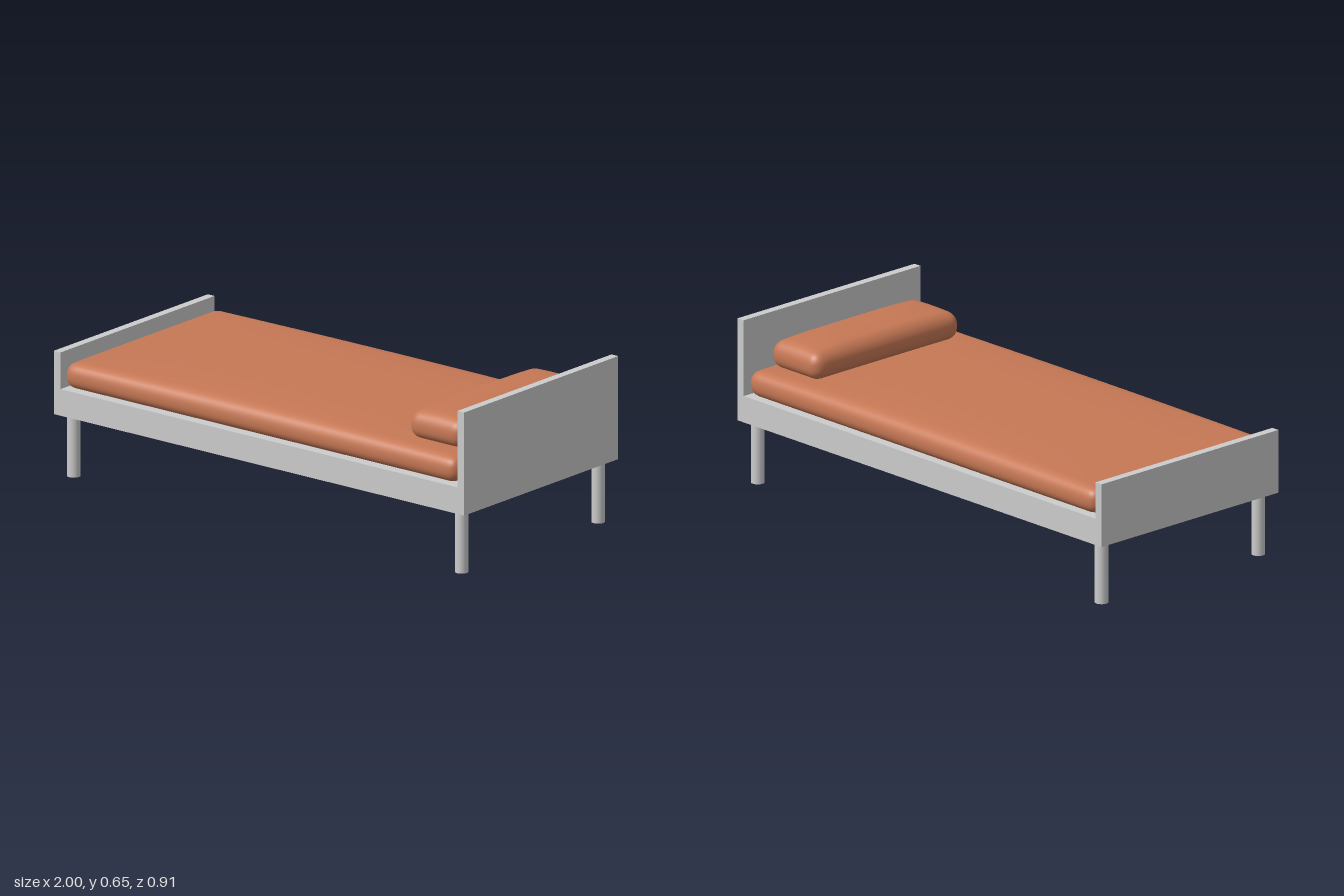
import * as THREE from 'three';
import { mergeVertices } from 'three/addons/utils/BufferGeometryUtils.js';

const frameMaterial = new THREE.MeshStandardMaterial({ color: 0xcccccc });
const fabricMaterial = new THREE.MeshStandardMaterial({ color: 0xc67855 });

// Box given by its extents on x, y and z
function panel(name, [x0, x1], [y0, y1], [z0, z1]) {
  const mesh = new THREE.Mesh(new THREE.BoxGeometry(x1 - x0, y1 - y0, z1 - z0), frameMaterial);
  mesh.name = name;
  mesh.position.set((x0 + x1) / 2, (y0 + y1) / 2, (z0 + z1) / 2);
  return mesh;
}

// Rounded slab whose top swells towards the middle
function cushion(name, [x0, x1], [y0, y1], [z0, z1], radius, crown) {
  const half = new THREE.Vector3(x1 - x0, y1 - y0, z1 - z0).multiplyScalar(0.5);
  let geometry = new THREE.BoxGeometry(2, 2, 2, 40, 12, 32);
  geometry.deleteAttribute('uv');
  geometry.deleteAttribute('normal');
  geometry = mergeVertices(geometry);

  const inner = half.clone().subScalar(radius);
  const lowest = inner.clone().negate();
  const pos = geometry.attributes.position;
  const p = new THREE.Vector3();
  const core = new THREE.Vector3();
  const spread = (u) => Math.sin(u * Math.PI / 2); // packs the grid towards the edges
  for (let i = 0; i < pos.count; i++) {
    p.fromBufferAttribute(pos, i);
    p.set(spread(p.x), spread(p.y), spread(p.z)).multiply(half);
    core.copy(p).clamp(lowest, inner);
    p.sub(core).normalize().multiplyScalar(radius).add(core);
    const swell = (1 - (p.x / half.x) ** 2) * (1 - (p.z / half.z) ** 4);
    p.y += crown * swell * (p.y / half.y + 1) / 2;
    pos.setXYZ(i, p.x, p.y, p.z);
  }
  geometry.computeVertexNormals();

  const mesh = new THREE.Mesh(geometry, fabricMaterial);
  mesh.name = name;
  mesh.position.set((x0 + x1) / 2, (y0 + y1) / 2, (z0 + z1) / 2);
  return mesh;
}

export function createModel() {
  const bed = new THREE.Group();
  bed.name = 'bed';
  const width = [-0.457, 0.457];
  const underside = 0.245;

  // Frame and end boards
  bed.add(
    panel('bedFrame', [-0.967, 0.967], [underside, 0.35], width),
    panel('headboard', [0.967, 1], [underside, 0.652], width),
    panel('footboard', [-1, -0.967], [underside, 0.495], width)
  );

  // Four round legs
  const legGeometry = new THREE.CylinderGeometry(0.026, 0.026, underside, 20);
  for (const x of [-0.945, 0.945]) {
    for (const z of [-0.405, 0.405]) {
      const leg = new THREE.Mesh(legGeometry, frameMaterial);
      leg.name = (z > 0 ? 'front' : 'back') + (x > 0 ? 'Left' : 'Right') + 'Leg';
      leg.position.set(x, underside / 2, z);
      bed.add(leg);
    }
  }

  // Bedding
  bed.add(
    cushion('mattress', [-0.96, 0.955], [0.353, 0.456], width, 0.046, 0.022),
    cushion('pillow', [0.648, 0.913], [0.46, 0.567], [-0.38, 0.372], 0.047, 0.02)
  );
  return bed;
}
